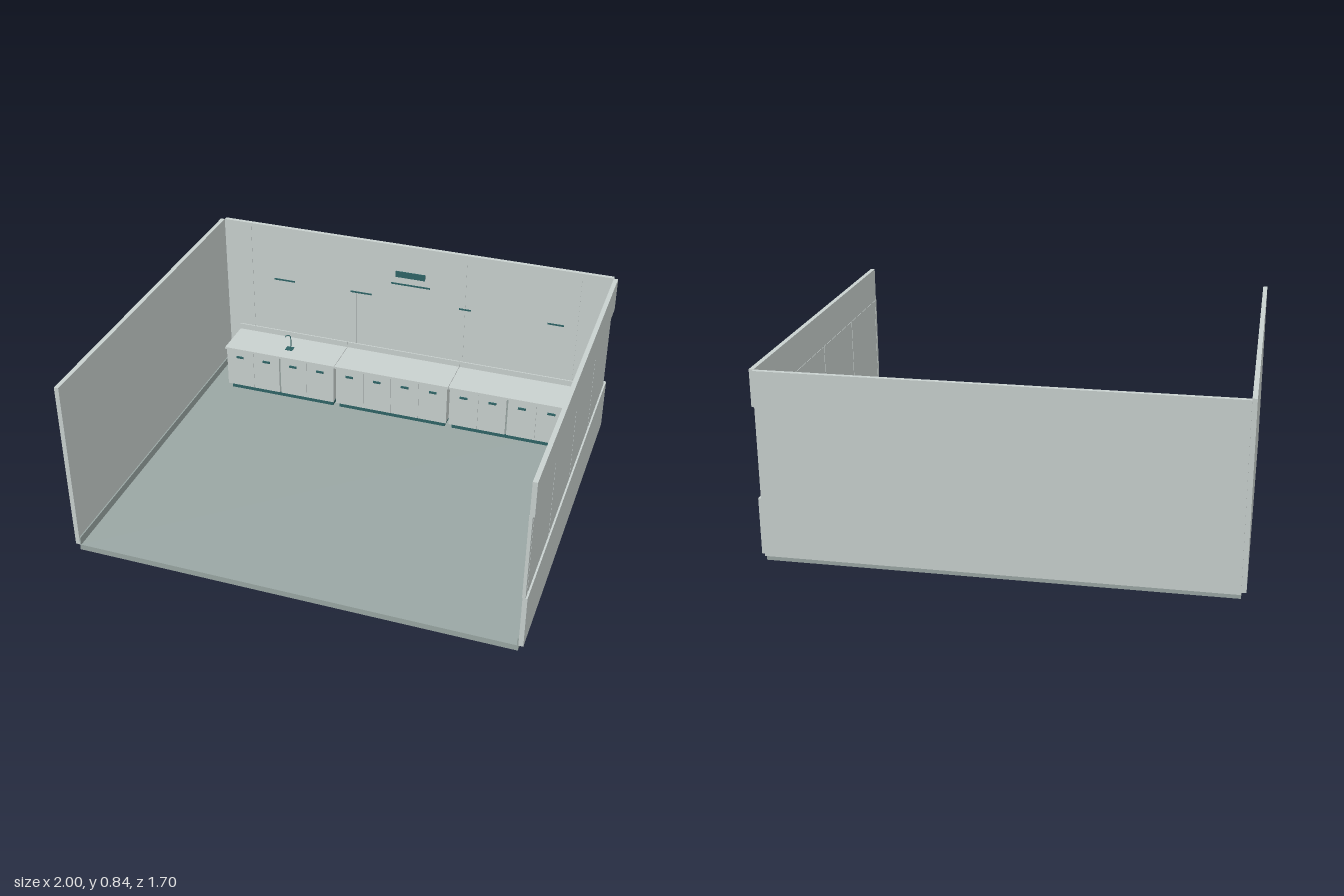
import * as THREE from 'three';

export function createModel() {
  const root = new THREE.Group();
  root.name = 'kitchenRoom';

  const mat = (name, color) => {
    const m = new THREE.MeshStandardMaterial({ color });
    m.name = name;
    return m;
  };
  const wallGrey = mat('wallGrey', 0xc9d1cf);
  const floorGrey = mat('floorGrey', 0x9aa7a4);
  const teal = mat('teal', 0x2f6466);

  // Box given by its lower and upper corner
  const box = (parent, name, material, x0, x1, y0, y1, z0, z1) => {
    const mesh = new THREE.Mesh(new THREE.BoxGeometry(x1 - x0, y1 - y0, z1 - z0), material);
    mesh.position.set((x0 + x1) / 2, (y0 + y1) / 2, (z0 + z1) / 2);
    mesh.name = name;
    parent.add(mesh);
    return mesh;
  };
  const group = (name) => {
    const g = new THREE.Group();
    g.name = name;
    root.add(g);
    return g;
  };

  // Floor slab and closed walls
  const base = 0.027, top = 0.835;
  box(root, 'floor', floorGrey, -0.98, 0.98, 0, base, -0.83, 0.85);
  box(root, 'backWall', wallGrey, -0.98, 0.98, base, top, -0.85, -0.83);
  box(root, 'rightWall', wallGrey, -1, -0.98, base, top, -0.83, 0.85);

  // Window wall: sill, header and four sliding panels
  const windowWall = group('windowWall');
  box(windowWall, 'sillWall', wallGrey, 0.98, 1, base, 0.277, -0.83, 0.85);
  box(windowWall, 'headerWall', wallGrey, 0.98, 1, 0.675, top, -0.83, 0.85);
  box(windowWall, 'windowPost', wallGrey, 0.978, 0.992, 0.277, 0.675, 0.827, 0.85);
  const seams = [0.825, 0.431, 0.013, -0.406, -0.802];
  for (let i = 0; i < 4; i++) {
    box(windowWall, 'windowPanel', wallGrey, 0.978, 0.992, 0.277, 0.675,
      seams[i + 1] + 0.003, seams[i] - 0.003);
  }
  for (const z of seams.slice(0, 4)) {
    box(windowWall, 'windowSeam', floorGrey, 0.98, 0.986, 0.277, 0.675, z - 0.004, z + 0.004);
  }

  // Baseboards
  const boards = group('baseboards');
  box(boards, 'backBaseboard', floorGrey, -0.98, 0.98, base, 0.065, -0.83, -0.824);
  for (const s of [-1, 1]) {
    box(boards, 'sideBaseboard', floorGrey, s * 0.977 - 0.003, s * 0.977 + 0.003,
      base, 0.065, -0.824, 0.85);
  }

  // Back wall panel joints and blank sign plates
  const decor = group('wallDetails');
  for (const x of [-0.838, -0.282, 0.28, 0.835]) {
    box(decor, 'panelJoint', wallGrey, x - 0.001, x + 0.001, 0.065, 0.815, -0.83, -0.828);
  }
  box(decor, 'signPlate', teal, -0.076, 0.074, 0.665, 0.697, -0.83, -0.826);
  for (const [x0, x1, y] of [[-0.1, 0.1, 0.627], [-0.72, -0.61, 0.543],
    [-0.31, -0.2, 0.543], [0.25, 0.31, 0.543], [0.69, 0.77, 0.543]]) {
    box(decor, 'labelStrip', teal, x0, x1, y - 0.004, y + 0.004, -0.83, -0.827);
  }

  // Three counter units, each with four doors, handles and a toe kick
  const pitch = 0.585;
  for (let u = -1; u <= 1; u++) {
    const unit = group('counterUnit');
    unit.position.x = u * pitch - 0.002;
    const h = pitch / 2;
    box(unit, 'worktop', wallGrey, -h + 0.001, h - 0.001, 0.265, 0.276, -0.735, -0.53);
    box(unit, 'backsplash', wallGrey, -h + 0.001, h - 0.001, 0.276, 0.305, -0.737, -0.731);
    box(unit, 'toeKick', teal, -0.275, 0.275, base, 0.062, -0.725, -0.56);
    box(unit, 'cabinetBody', wallGrey, -0.284, 0.284, 0.06, 0.265, -0.733, -0.546);
    const midGap = u ? 0.004 : 0.001;
    for (const s of [-1, 1]) {
      for (let d = 0; d < 2; d++) {
        const a = d ? 0.143 : midGap, b = d ? 0.286 : 0.142;
        box(unit, 'door', wallGrey, Math.min(s * a, s * b), Math.max(s * a, s * b),
          0.06, 0.26, -0.546, -0.538);
        const c = s * (d ? 0.215 : 0.072);
        box(unit, 'handle', teal, c - 0.019, c + 0.019, 0.221, 0.231, -0.538, -0.532);
      }
    }
    if (u) box(unit, 'middleGap', floorGrey, -0.004, 0.004, 0.06, 0.26, -0.546, -0.545);
  }

  // Tap with square foot and bent spout
  const tap = group('tap');
  box(tap, 'tapFoot', teal, -0.582, -0.545, 0.276, 0.28, -0.635, -0.602);
  const path = new THREE.CatmullRomCurve3([
    [-0.558, 0.278, -0.62], [-0.558, 0.345, -0.62], [-0.562, 0.353, -0.618],
    [-0.578, 0.353, -0.612], [-0.58, 0.346, -0.61],
  ].map((p) => new THREE.Vector3(...p)));
  const spout = new THREE.Mesh(new THREE.TubeGeometry(path, 24, 0.0025, 8), teal);
  spout.name = 'tapSpout';
  tap.add(spout);

  return root;
}
